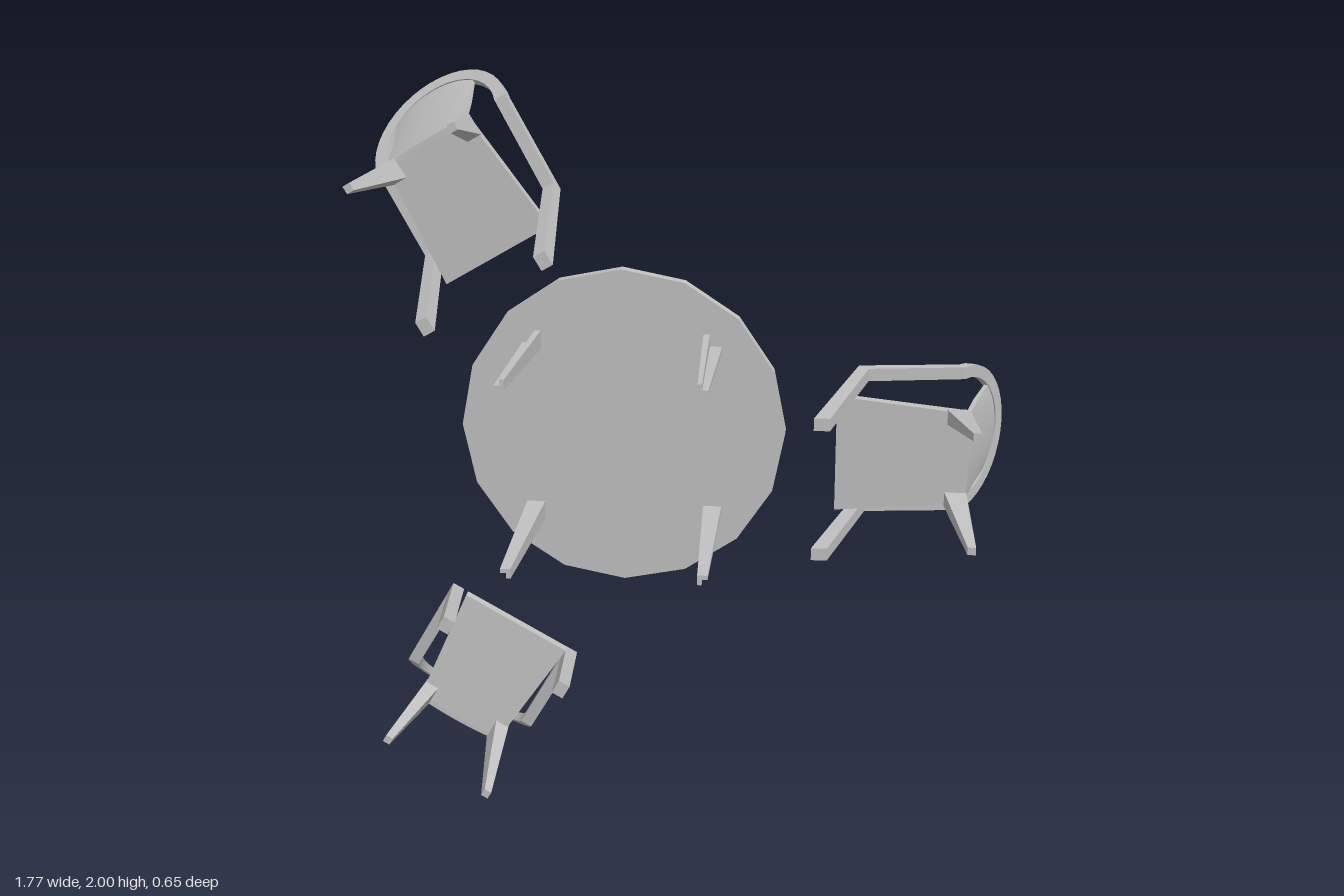
import * as THREE from 'three';
import { toCreasedNormals } from 'three/addons/utils/BufferGeometryUtils.js';

const V = (x, y, z) => new THREE.Vector3(x, y, z);
const grey = new THREE.MeshStandardMaterial({ color: 0xc0c0c0 });
grey.name = 'greyPlastic';

function part(name, geometry) {
  const mesh = new THREE.Mesh(toCreasedNormals(geometry, 0.35), grey);
  mesh.name = name;
  return mesh;
}

// Closed solid through a row of rings with equal corner counts; end caps fan from corner 0.
function loft(rings) {
  const n = rings[0].length, tris = [];
  for (let i = 0; i < rings.length - 1; i++) {
    for (let j = 0; j < n; j++) {
      const k = (j + 1) % n;
      const a = rings[i][j], b = rings[i][k], c = rings[i + 1][k], d = rings[i + 1][j];
      tris.push([a, b, c], [a, c, d]);
    }
  }
  const first = rings[0], last = rings[rings.length - 1];
  for (let j = 1; j < n - 1; j++) {
    tris.push([first[0], first[j + 1], first[j]], [last[0], last[j], last[j + 1]]);
  }
  // turn all faces outward
  const volume = tris.reduce((s, [a, b, c]) => s + a.dot(b.clone().cross(c)), 0);
  const points = tris.flatMap(([a, b, c]) => (volume < 0 ? [a, c, b] : [a, b, c]));
  return new THREE.BufferGeometry().setFromPoints(points);
}

const rect = (x0, x1, y, z0, z1) => [V(x0, y, z0), V(x1, y, z0), V(x1, y, z1), V(x0, y, z1)];

// L-shaped leg section, open towards the outside
function angleRing(y, inner, outer, t, sx, sz) {
  const pts = [[inner + t, inner + t], [inner + t, outer], [inner, outer],
    [inner, inner], [outer, inner], [outer, inner + t]];
  return pts.map(([x, z]) => V(x * sx, y, z * sz));
}

function makeTable() {
  const table = new THREE.Group();
  table.name = 'table';
  const top = part('tableTop', new THREE.CylinderGeometry(0.466, 0.466, 0.035, 16));
  top.position.y = 0.483;
  table.add(top);
  for (const sx of [-1, 1]) for (const sz of [-1, 1]) {
    table.add(part('tableLeg', loft([
      angleRing(0, 0.252, 0.28, 0.012, sx, sz),
      angleRing(0.466, 0.231, 0.284, 0.018, sx, sz),
    ])));
  }
  return table;
}

// Point on the tilted back hoop at angle a (0 = one arm, PI = other arm)
const HALF = 0.195;
const hoop = (a) => V(0.955 + 0.115 * Math.sin(a), 0.46 + 0.167 * Math.sin(a), HALF * Math.cos(a));

// One continuous bar: front leg, arm, back hoop, arm, front leg
function frameGeometry() {
  const path = [];
  const add = (p, out, width, thick) => path.push({ p, out, width, thick });
  const side = (s) => [
    [V(0.574, 0, 0.18 * s), V(0, 0, s), 0.034, 0.042],
    [V(0.682, 0.428, 0.193 * s), V(0, 0, s), 0.036, 0.034],
  ];
  side(1).forEach((q) => add(...q));
  const steps = 20;
  for (let i = 0; i <= steps; i++) {
    const a = Math.PI * i / steps;
    const c = Math.cos(a) / HALF, s = Math.sin(a) / 0.203;
    const out = V(0.115 / 0.203 * s, 0.167 / 0.203 * s, c).normalize();
    add(hoop(a), out, 0.034, 0.03 - 0.012 * Math.sin(a));
  }
  side(-1).reverse().forEach((q) => add(...q));

  const rings = path.map(({ p, out, width, thick }, i) => {
    const before = path[Math.max(i - 1, 0)].p, after = path[Math.min(i + 1, path.length - 1)].p;
    const d0 = p.clone().sub(before), d1 = after.clone().sub(p);
    if (i === 0) d0.copy(d1);
    if (i === path.length - 1) d1.copy(d0);
    d0.normalize();
    d1.normalize();
    const mitre = 1 / Math.sqrt((1 + d0.dot(d1)) / 2);
    const across = d0.add(d1).cross(out).normalize();
    // feet are cut level with the floor
    if (i === 0 || i === path.length - 1) across.set(Math.sign(across.x), 0, 0);
    const corner = (s, t) => p.clone().addScaledVector(out, s * width / 2)
      .addScaledVector(across, t * thick / 2 * mitre);
    return [corner(-1, -1), corner(1, -1), corner(1, 1), corner(-1, 1)];
  });
  return loft(rings);
}

// Curved back panel, running from the seat up to the hoop
function backGeometry() {
  const rings = [], columns = 12, t = 0.012;
  for (let i = 0; i <= columns; i++) {
    const s = -1 + 2 * i / columns, z = 0.126 * s;
    const top = hoop(Math.acos(z / HALF));
    const bottom = V(0.972 - 0.006 * s * s, 0.277, z * 0.97);
    const mid = bottom.clone().lerp(top, 0.5).add(V(-0.004, 0, 0));
    const front = [bottom, mid, top].map((p) => p.clone().add(V(-t, 0, 0)));
    rings.push([...front, top, mid, bottom]);
  }
  return loft(rings);
}

function makeChair() {
  const chair = new THREE.Group();
  chair.name = 'chair';
  chair.add(part('legAndArmFrame', frameGeometry()));
  chair.add(part('backPanel', backGeometry()));
  // seat, narrowing and dropping slightly towards the back
  const seatRing = (x, y0, y1, w) => [V(x, y0, -w), V(x, y1, -w), V(x, y1, w), V(x, y0, w)];
  chair.add(part('seat', loft([
    seatRing(0.61, 0.296, 0.324, 0.165),
    seatRing(0.968, 0.277, 0.312, 0.13),
  ])));
  for (const s of [-1, 1]) {
    chair.add(part('rearLeg', loft([
      rect(0.962, 0.984, 0, 0.147 * s, 0.168 * s),
      rect(0.908, 0.97, 0.295, 0.095 * s, 0.137 * s),
    ])));
  }
  return chair;
}

export function createModel() {
  const model = new THREE.Group();
  model.name = 'tableAndChairs';
  // the set is laid over, so that its top faces the back
  const set = new THREE.Group();
  set.name = 'diningSet';
  set.rotation.x = -Math.PI / 2;
  set.position.set(-0.2, 1.005, 0.32);
  set.add(makeTable());
  for (const [angle, dx, dz] of [[0, 0, 0], [120, -0.01, 0.01], [-120, 0.008, -0.018]]) {
    const chair = makeChair();
    chair.rotation.y = -angle * Math.PI / 180;
    chair.position.set(dx, 0, dz);
    set.add(chair);
  }
  model.add(set);
  return model;
}
